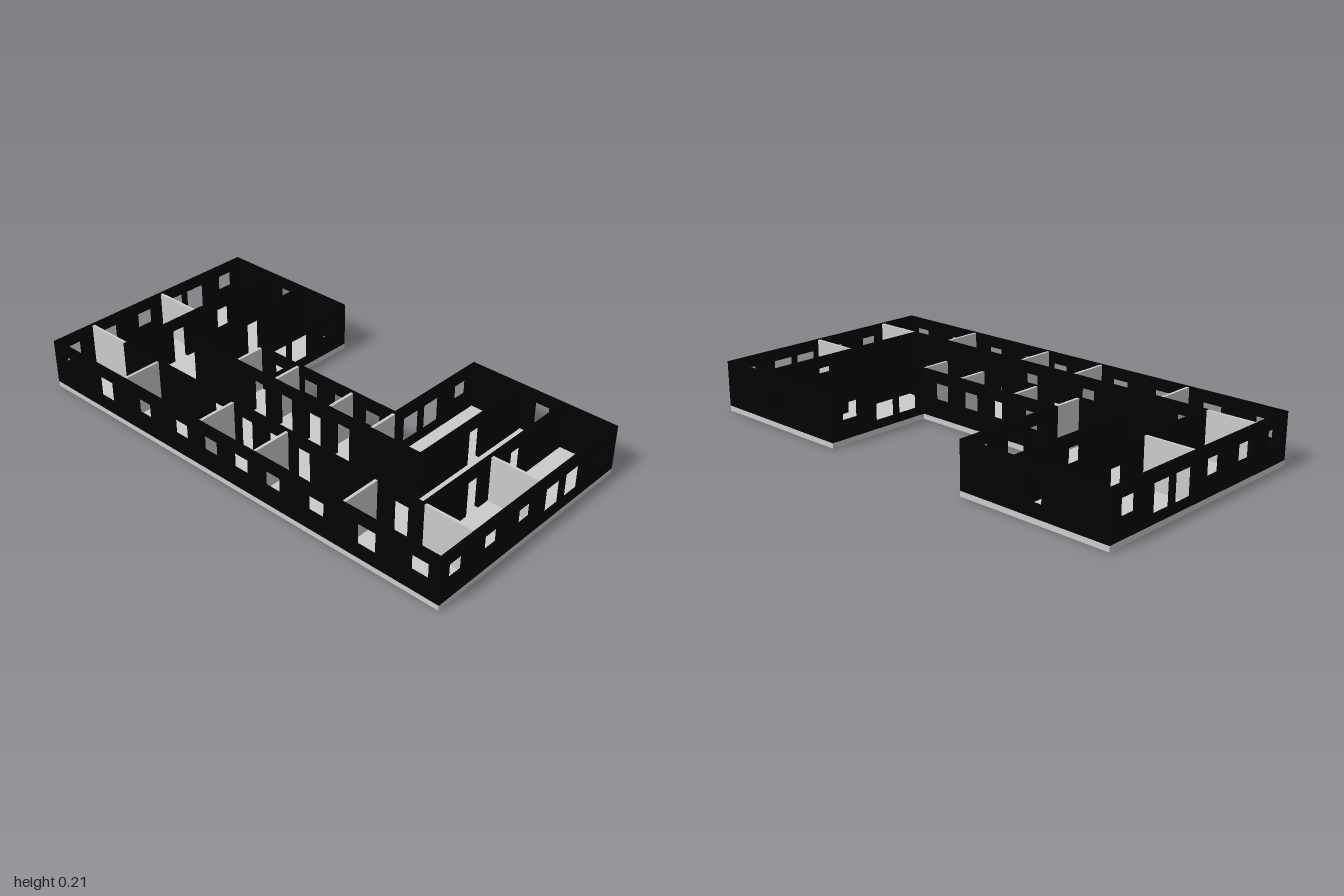
import * as THREE from 'three';

const FLOOR = 0.022, TOP = 0.213, HEAD = 0.168, T = 0.016;
const grey = new THREE.MeshStandardMaterial({ color: 0xcccccc });
const black = new THREE.MeshStandardMaterial({ color: 0x020202 });

// Openings: centre along the wall, width, sill and head heights
const win = (c, w = 0.08, sill = 0.095) => ({ c, w, sill });
const tall = (c) => win(c, 0.1, 0.052);
const door = (c) => ({ c, w: 0.07, sill: FLOOR });

// Wall along x or z, from a to b, centred on the line 'at'
function wall(name, axis, at, a, b, openings = [], material = black, thick = T) {
  const shape = new THREE.Shape();
  shape.moveTo(a, FLOOR);
  // doors notch the bottom edge, windows are holes
  openings.filter((o) => o.sill === FLOOR).sort((p, q) => p.c - q.c).forEach(({ c, w }) => {
    shape.lineTo(c - w / 2, FLOOR);
    shape.lineTo(c - w / 2, HEAD);
    shape.lineTo(c + w / 2, HEAD);
    shape.lineTo(c + w / 2, FLOOR);
  });
  shape.lineTo(b, FLOOR);
  shape.lineTo(b, TOP);
  shape.lineTo(a, TOP);
  shape.closePath();
  openings.filter((o) => o.sill !== FLOOR).forEach(({ c, w, sill }) => {
    const hole = new THREE.Path();
    hole.moveTo(c - w / 2, sill);
    hole.lineTo(c - w / 2, HEAD);
    hole.lineTo(c + w / 2, HEAD);
    hole.lineTo(c + w / 2, sill);
    hole.closePath();
    shape.holes.push(hole);
  });
  const geo = new THREE.ExtrudeGeometry(shape, { depth: thick, bevelEnabled: false });
  geo.translate(0, 0, -thick / 2);
  if (axis === 'z') geo.rotateY(-Math.PI / 2).translate(at, 0, 0);
  else geo.translate(0, 0, at);
  const mesh = new THREE.Mesh(geo, material);
  mesh.name = name;
  return mesh;
}

export function createModel() {
  const model = new THREE.Group();
  model.name = 'floorPlanBuilding';
  const X = 1, Z = 0.515, h = T / 2;
  const courtX = 0.342, courtZ = -0.035;   // courtyard faces
  const outX = 0.772, outZ = 0.326;        // outer corridor wall
  const inX = 0.586, inZ = 0.113;          // inner corridor wall
  const pair = (make, ...cs) => cs.flatMap((c) => [make(-c), make(c)]);

  // U-shaped floor slab (shape y is -z)
  const plan = new THREE.Shape([
    [-X, -Z], [X, -Z], [X, Z], [courtX, Z], [courtX, -courtZ],
    [-courtX, -courtZ], [-courtX, Z], [-X, Z],
  ].map(([x, y]) => new THREE.Vector2(x, y)));
  const slabGeo = new THREE.ExtrudeGeometry(plan, { depth: FLOOR, bevelEnabled: false });
  slabGeo.rotateX(-Math.PI / 2);
  const slab = new THREE.Mesh(slabGeo, grey);
  slab.name = 'floorSlab';
  model.add(slab);

  // Walls running across the building
  model.add(
    wall('frontWall', 'x', Z - h, -X, X,
      [...pair(win, 0.91, 0.45, 0.24, 0.08), win(-0.68, 0.09, 0.07), win(0.68, 0.09, 0.07)]),
    wall('courtyardBackWall', 'x', courtZ + h, -courtX - T, courtX + T, pair(win, 0.24, 0.08)),
    wall('outerCorridorWall', 'x', outZ, -outX - h, outX + h, pair(door, 0.68, 0.22, 0.075)),
    wall('innerCorridorWall', 'x', inZ, -inX - h, inX + h, pair(door, 0.22, 0.075)),
  );

  // Wings, mirrored left and right
  for (const s of [-1, 1]) {
    const side = s > 0 ? 'left' : 'right';
    const sideWindows = [win(0.43), win(0.24), win(0.05), tall(-0.12), tall(-0.24), win(-0.42)];
    model.add(
      wall(side + 'SideWall', 'z', s * (X - h), -Z, Z, sideWindows),
      wall(side + 'CourtyardWall', 'z', s * (courtX + h), -Z, courtZ + T,
        [tall(-0.12), tall(-0.24), win(-0.42)]),
      wall(side + 'OuterCorridorWall', 'z', s * outX, -Z, outZ + h, [door(-0.2), door(0.05)]),
      wall(side + 'InnerCorridorWall', 'z', s * inX, -Z, inZ + h, [door(-0.2)]),
      wall(side + 'EndWall', 'x', -Z + h, Math.min(s * courtX, s * X), Math.max(s * courtX, s * X),
        [win(s * 0.68, 0.07, 0.07)]),
    );
    // Grey room partitions
    const part = (axis, at, a, b) => model.add(
      wall(side + 'Partition', axis, at, Math.min(a, b), Math.max(a, b), [], grey, 0.012));
    for (const x of [0.142, 0.57]) part('z', s * x, outZ + h, Z - T);
    for (const x of [0.142, courtX + h]) part('z', s * x, courtZ + T, inZ - h);
    for (const z of [-0.048, outZ - 0.002]) part('x', z, s * (outX + h), s * (X - T));
  }
  return model;
}
